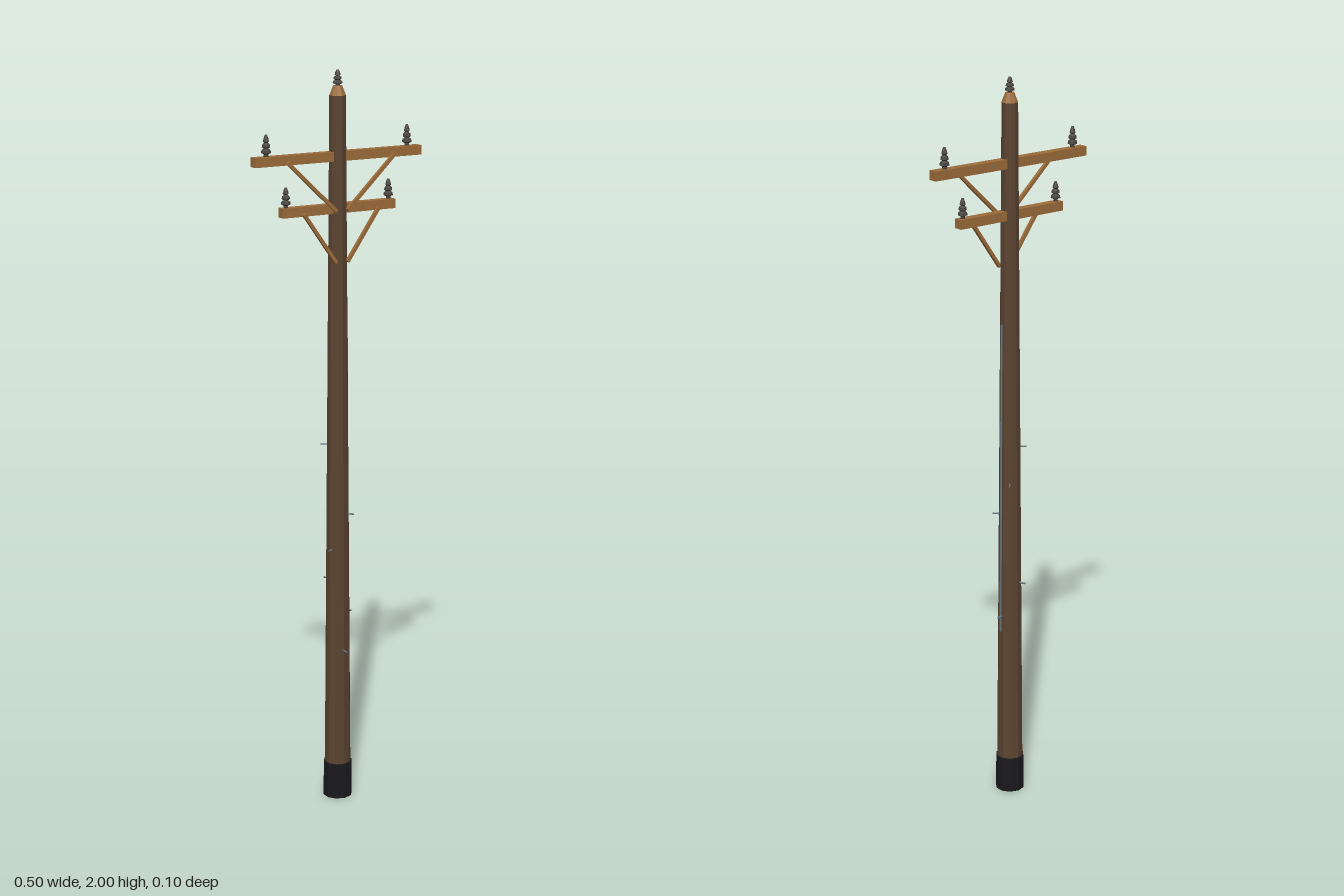
import * as THREE from 'three';

const mat = (color) => new THREE.MeshStandardMaterial({ color, flatShading: true });

export function createModel() {
  const model = new THREE.Group();
  model.name = 'utilityPole';
  const body = new THREE.Group();
  body.name = 'poleAssembly';
  body.position.z = -0.002;
  model.add(body);

  const poleWood = mat(0x5a4430), armWood = mat(0x9c6c3a);
  const black = mat(0x1a1a1c), ceramic = mat(0x4a443f), steel = mat(0x66757f);

  function add(name, geometry, material, x = 0, y = 0, z = 0) {
    const mesh = new THREE.Mesh(geometry, material);
    mesh.name = name;
    mesh.position.set(x, y, z);
    body.add(mesh);
    return mesh;
  }

  // Tapered shaft, its dark footing and the chamfered top
  const bottomR = 0.037, topR = 0.022, shaftTop = 1.935;
  const radiusAt = (y) => bottomR + (topR - bottomR) * y / shaftTop;
  add('shaft', new THREE.CylinderGeometry(topR, bottomR, shaftTop, 10), poleWood, 0, shaftTop / 2);
  add('footing', new THREE.CylinderGeometry(0.039, 0.04, 0.1, 10), black, 0, 0.05);
  add('poleCap', new THREE.CylinderGeometry(0.012, topR, 0.025, 10), armWood, 0, shaftTop + 0.0125);

  // Stacked-shed insulator, unit height scaled to fit
  const profile = [
    [0, 0], [0.006, 0], [0.006, 0.12], [0.013, 0.18], [0.012, 0.3], [0.006, 0.38],
    [0.011, 0.44], [0.010, 0.56], [0.005, 0.64], [0.008, 0.7], [0.006, 0.85], [0.003, 1], [0, 1],
  ].map(([r, y]) => new THREE.Vector2(r, y));
  const insulatorGeometry = new THREE.LatheGeometry(profile, 10);
  function insulator(x, y, height) {
    add('insulator', insulatorGeometry, ceramic, x, y).scale.y = height;
  }
  insulator(0, 1.958, 0.042);

  // Flat strut running between two points
  function brace(from, to) {
    const a = new THREE.Vector3(...from), b = new THREE.Vector3(...to);
    const strut = add('brace', new THREE.BoxGeometry(0.009, 0.009, a.distanceTo(b)), armWood);
    strut.position.copy(a).add(b).multiplyScalar(0.5);
    strut.lookAt(b);
  }

  // Cross arms with insulators, braces and bolts
  const arms = [
    { half: 0.25, y: 1.778, pin: 0.212, pinHeight: 0.056, braceX: 0.16, drop: 0.14 },
    { half: 0.17, y: 1.642, pin: 0.155, pinHeight: 0.053, braceX: 0.113, drop: 0.14 },
  ];
  for (const arm of arms) {
    add('crossArm', new THREE.BoxGeometry(arm.half * 2, 0.025, 0.025), armWood, 0, arm.y);
    for (const side of [-1, 1]) {
      insulator(side * arm.pin, arm.y + 0.0125, arm.pinHeight);
      brace([side * 0.017, arm.y - arm.drop, 0.024], [side * arm.braceX, arm.y - 0.005, 0.018]);
      const bolt = add('armBolt', new THREE.CylinderGeometry(0.002, 0.002, 0.031, 6), steel,
        side * 0.068, arm.y, 0);
      bolt.rotation.x = Math.PI / 2;
    }
  }

  // Ground wire down the left side
  const wire = new THREE.LineCurve3(
    new THREE.Vector3(radiusAt(0.48) - 0.001, 0.48, 0), new THREE.Vector3(radiusAt(1.35) + 0.001, 1.35, 0));
  add('groundWire', new THREE.TubeGeometry(wire, 1, 0.003, 6), steel);

  // Climbing pegs spiralling up the shaft
  for (let i = 0; i < 7; i++) {
    const y = 0.43 + i * 0.096;
    const angle = THREE.MathUtils.degToRad(90 - 100 * i);
    const r = radiusAt(y) + 0.005;
    const peg = add('climbingPeg', new THREE.CylinderGeometry(0.0023, 0.0023, 0.022, 6), steel,
      Math.cos(angle) * r, y, Math.sin(angle) * r);
    peg.rotation.set(0, -angle, Math.PI / 2);
  }
  return model;
}
